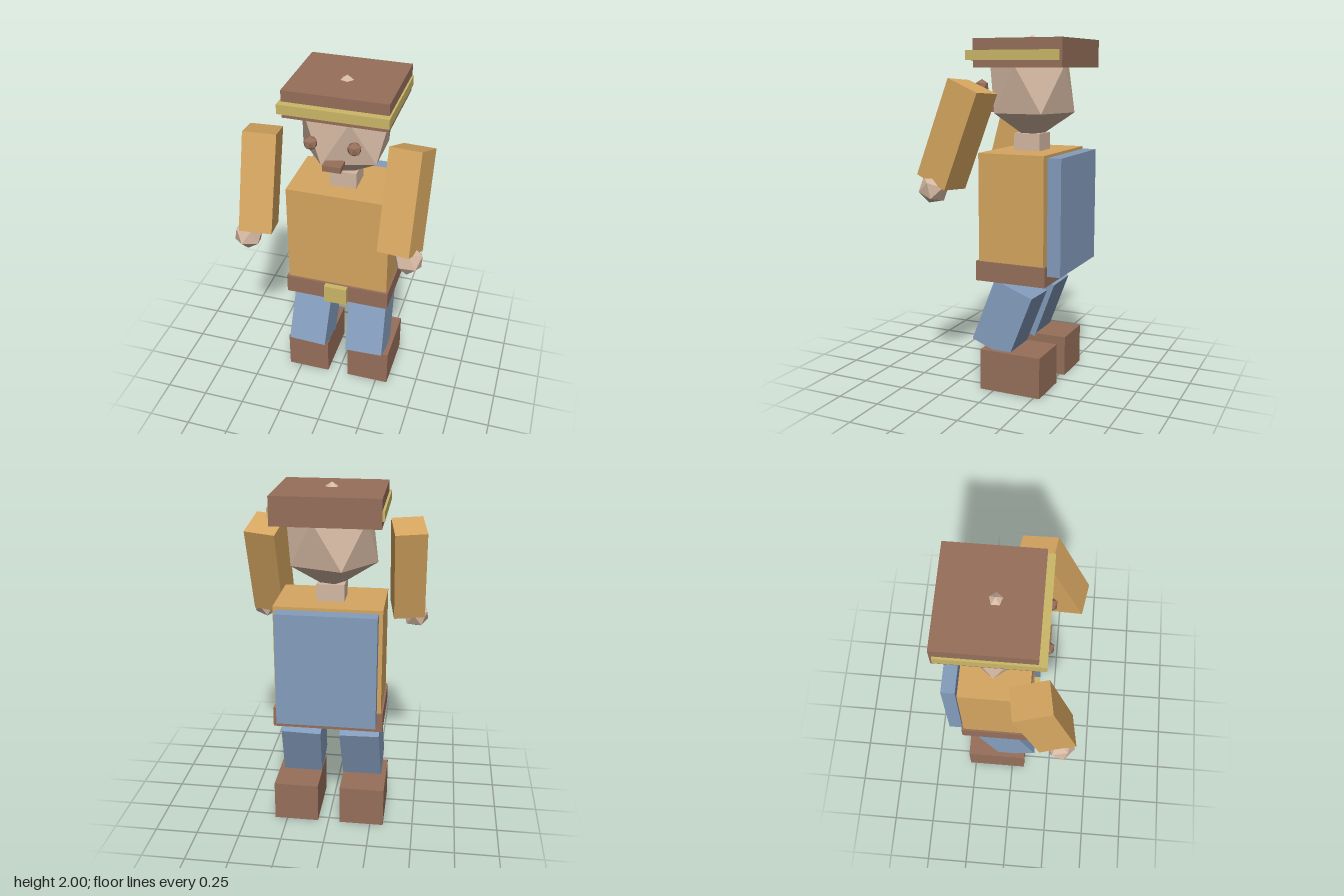
import * as THREE from 'three';
import { ConvexGeometry } from 'three/addons/geometries/ConvexGeometry.js';

const deg = THREE.MathUtils.degToRad;

function material(name, color) {
  const m = new THREE.MeshStandardMaterial({ color });
  m.name = name;
  return m;
}

// Icosahedron with one corner straight up and one upper-ring corner on +x
function icoGeometry() {
  const points = [new THREE.Vector3(0, 1, 0), new THREE.Vector3(0, -1, 0)];
  const ring = 2 / Math.sqrt(5), h = 1 / Math.sqrt(5);
  for (let i = 0; i < 5; i++) {
    const a = (i * Math.PI * 2) / 5;
    const x = ring * Math.cos(a), z = ring * Math.sin(a);
    points.push(new THREE.Vector3(x, h, z), new THREE.Vector3(-x, -h, z));
  }
  return new ConvexGeometry(points);
}

export function createModel() {
  const model = new THREE.Group();
  model.name = 'blockFigure';

  const tan = material('tan', 0xd6a660);
  const brown = material('brown', 0x966f5a);
  const blue = material('blue', 0x849dbd);
  const skin = material('skin', 0xd4b8a2);
  const gold = material('gold', 0xcbb768);
  const ico = icoGeometry();

  function add(name, geometry, mat, position, rotation = [0, 0, 0]) {
    const mesh = new THREE.Mesh(geometry, mat);
    mesh.name = name;
    mesh.position.set(...position);
    mesh.rotation.set(...rotation.map(deg));
    model.add(mesh);
    return mesh;
  }
  const box = (name, mat, size, position, rotation) =>
    add(name, new THREE.BoxGeometry(...size), mat, position, rotation);
  const ball = (name, mat, radii, position, rotation) =>
    add(name, ico, mat, position, rotation).scale.set(...radii);

  // Body
  box('torso', tan, [0.6, 0.61, 0.39], [0, 1.053, -0.1]);
  box('belt', brown, [0.622, 0.112, 0.416], [0, 0.694, -0.099]);
  box('buckle', gold, [0.136, 0.112, 0.04], [0, 0.694, 0.123]);
  box('backPanel', blue, [0.556, 0.65, 0.078], [0, 1.021, -0.347]);
  box('neck', skin, [0.156, 0.1, 0.155], [0, 1.405, -0.098]);

  // Head and face
  ball('head', skin, [0.284, 0.297, 0.266], [0, 1.703, -0.098]);
  box('mouth', brown, [0.102, 0.034, 0.08], [-0.003, 1.584, 0.142]);

  // Hat with band
  box('hat', brown, [0.577, 0.155, 0.519], [-0.001, 1.898, -0.13]);
  box('hatBand', gold, [0.6, 0.054, 0.546], [-0.002, 1.886, -0.103]);

  // Parts on both sides
  for (const s of [-1, 1]) {
    const side = s > 0 ? 'left' : 'right';
    ball(side + 'Eye', brown, [0.041, 0.041, 0.041], [s * 0.119 - 0.003, 1.715, 0.162]);
    box(side + 'Leg', blue, [0.23, 0.385, 0.242], [s * 0.176 - 0.001, 0.418, -0.037], [-21, 0, s * 1.7]);
    box(side + 'Boot', brown, [0.26, 0.236, 0.366], [s * 0.195 - 0.002, 0.118, -0.102]);
  }

  // Arms hang forward, the right one a little less
  const arm = [0.182, 0.557, 0.207];
  box('leftArm', tan, arm, [0.404, 1.463, 0.171], [-21, -10.4, 0]);
  box('rightArm', tan, arm, [-0.408, 1.457, 0.178], [-15.3, 10, 0]);
  ball('leftHand', skin, [0.085, 0.085, 0.085], [0.456, 1.17, 0.288], [-21, -10.4, 0]);
  ball('rightHand', skin, [0.085, 0.085, 0.085], [-0.46, 1.146, 0.28], [-15.3, 10, 0]);

  return model;
}
